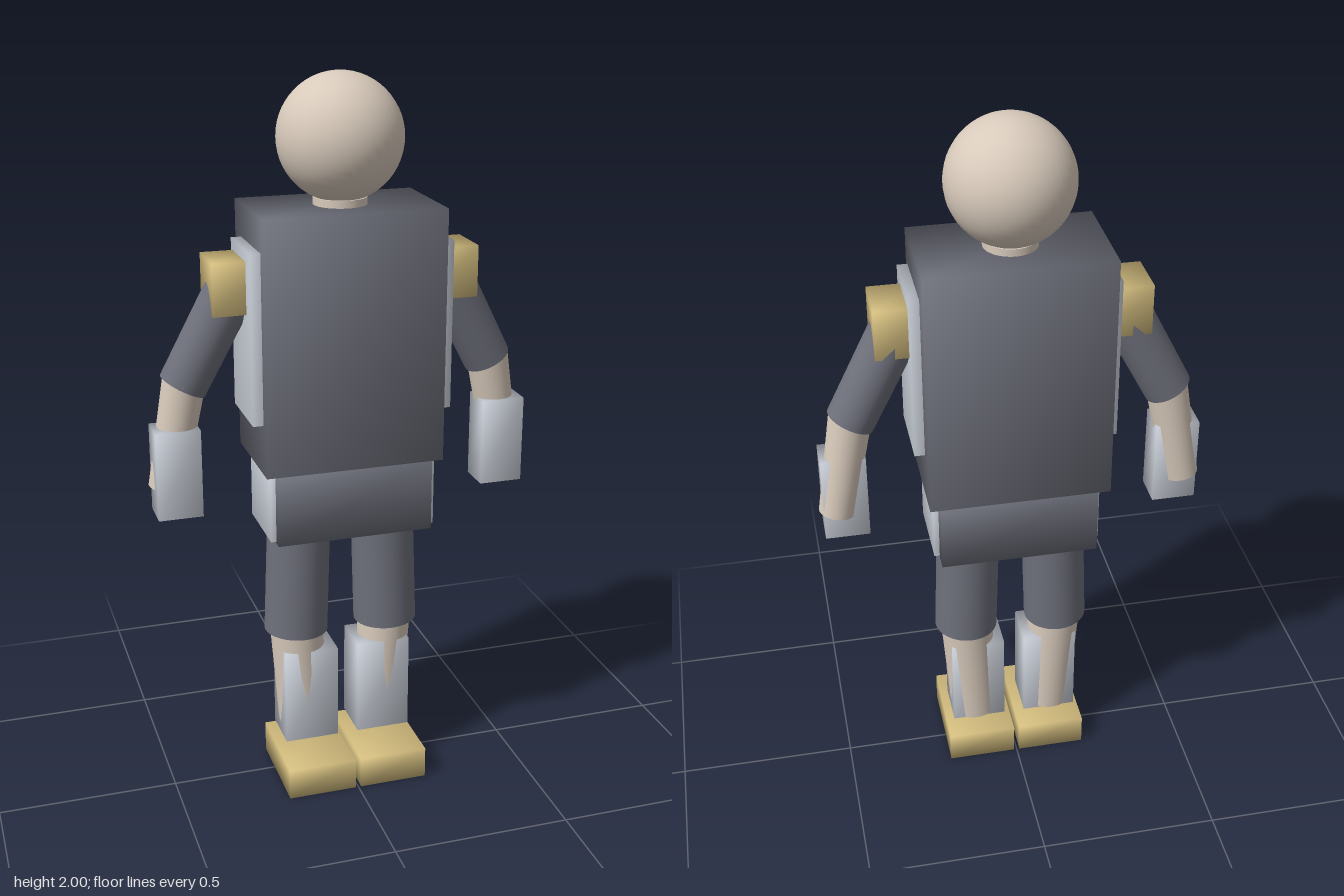
import * as THREE from 'three';
import { mergeVertices } from 'three/addons/utils/BufferGeometryUtils.js';

const skin = new THREE.MeshStandardMaterial({ color: 0xd8cabb });
const cloth = new THREE.MeshStandardMaterial({ color: 0x6e707b });
const plate = new THREE.MeshStandardMaterial({ color: 0xc8cdd6 });
const gold = new THREE.MeshStandardMaterial({ color: 0xd2bc7e });

// Shares corner vertices so shading blends across the edges
function soften(geometry) {
  geometry.deleteAttribute('normal');
  geometry.deleteAttribute('uv');
  const welded = mergeVertices(geometry, 1e-4);
  welded.computeVertexNormals();
  return welded;
}

function add(parent, name, geometry, material) {
  const mesh = new THREE.Mesh(geometry, material);
  mesh.name = name;
  parent.add(mesh);
  return mesh;
}

// Box given by its extents on each axis
function box(parent, name, material, [x0, x1], [y0, y1], [z0, z1]) {
  const mesh = add(parent, name, soften(new THREE.BoxGeometry(x1 - x0, y1 - y0, z1 - z0)), material);
  mesh.position.set((x0 + x1) / 2, (y0 + y1) / 2, (z0 + z1) / 2);
}

// Tapered round limb running from a (top) to b (bottom)
function limb(parent, name, material, a, b, ra, rb) {
  const top = new THREE.Vector3(...a), bottom = new THREE.Vector3(...b);
  const axis = top.clone().sub(bottom);
  const mesh = add(parent, name, new THREE.CylinderGeometry(ra, rb, axis.length(), 32), material);
  mesh.position.copy(top).add(bottom).multiplyScalar(0.5);
  mesh.quaternion.setFromUnitVectors(new THREE.Vector3(0, 1, 0), axis.normalize());
}

export function createModel() {
  const model = new THREE.Group();
  model.name = 'figure';

  // Head and trunk
  const head = add(model, 'head', new THREE.SphereGeometry(0.167, 40, 28), skin);
  head.position.set(0, 1.833, -0.005);
  limb(model, 'neck', skin, [0, 1.68, -0.005], [0, 1.6, -0.005], 0.072, 0.072);
  box(model, 'torso', cloth, [-0.247, 0.247], [0.97, 1.66], [-0.155, 0.143]);
  box(model, 'pelvis', cloth, [-0.217, 0.217], [0.77, 0.98], [-0.143, 0.14]);

  // Paired parts, right then left
  for (const s of [-1, 1]) {
    const side = new THREE.Group();
    side.name = s < 0 ? 'rightSide' : 'leftSide';
    model.add(side);
    const span = (a, b) => (s > 0 ? [a, b] : [-b, -a]);

    // Plates on the trunk
    box(side, 'torsoPlate', plate, span(0.2, 0.275), [1.11, 1.57], [-0.09, 0.115]);
    box(side, 'hipPlate', plate, span(0.17, 0.232), [0.775, 0.965], [-0.095, 0.115]);

    // Arm
    box(side, 'shoulder', gold, span(0.22, 0.363), [1.4, 1.54], [-0.073, 0.068]);
    limb(side, 'upperArm', cloth, [s * 0.3, 1.45, -0.004], [s * 0.432, 1.198, -0.018], 0.068, 0.066);
    limb(side, 'forearm', skin, [s * 0.43, 1.21, -0.01], [s * 0.484, 0.915, -0.021], 0.058, 0.05);
    box(side, 'handGuard', plate, span(0.4, 0.522), [0.845, 1.09], [-0.05, 0.047]);

    // Leg
    limb(side, 'thigh', cloth, [s * 0.12, 0.83, -0.003], [s * 0.133, 0.45, -0.003], 0.088, 0.09);
    limb(side, 'shin', skin, [s * 0.132, 0.47, -0.003], [s * 0.112, 0.125, -0.003], 0.076, 0.07);
    box(side, 'shinGuard', plate, span(0.03, 0.184), [0.122, 0.4], [-0.062, 0.069]);
    box(side, 'foot', gold, span(0.008, 0.203), [0, 0.09], [-0.105, 0.173]);
  }
  return model;
}
